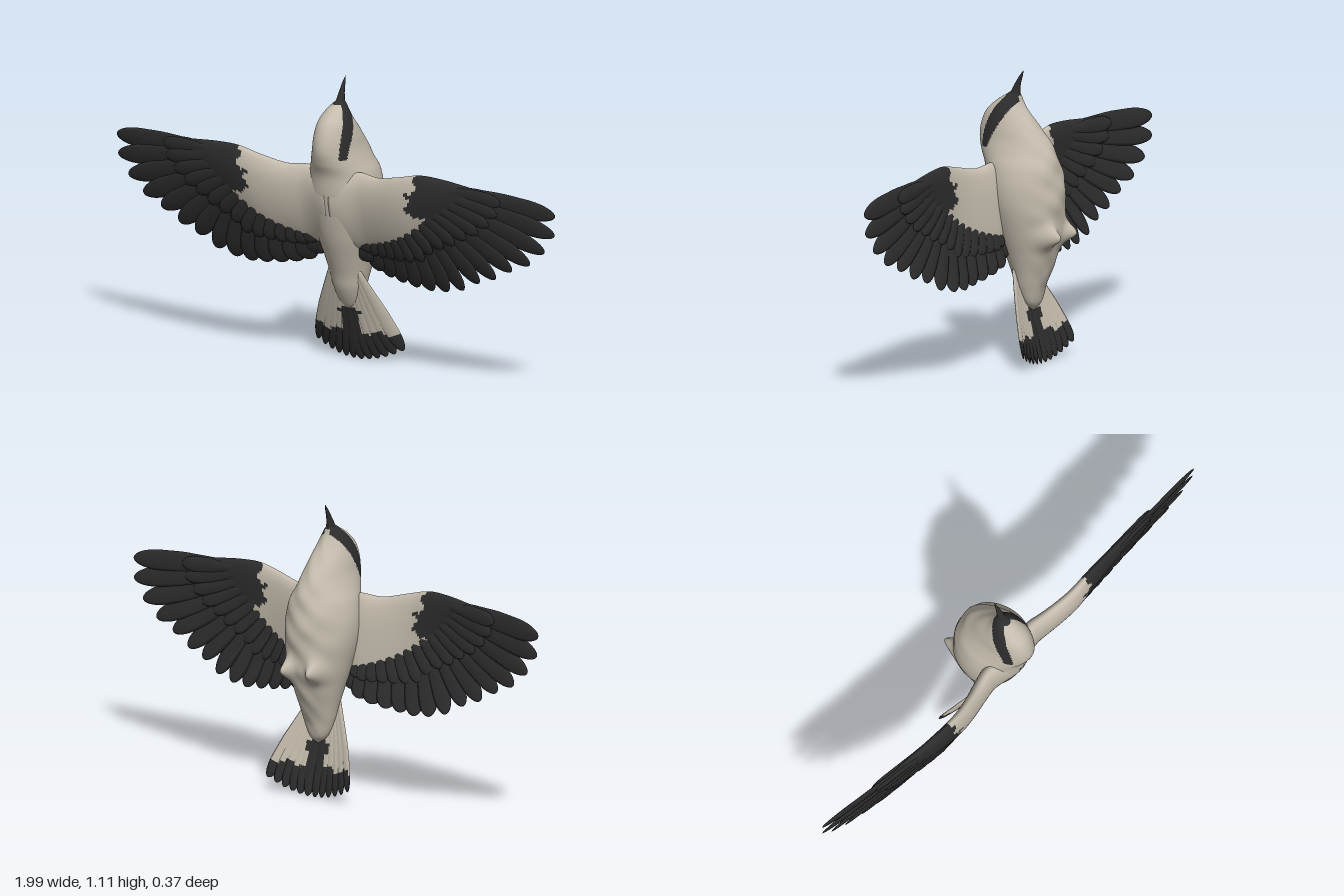
import * as THREE from 'three';

const cream = new THREE.MeshStandardMaterial({ color: 0xc3bbac });
cream.name = 'cream plumage';
const black = new THREE.MeshStandardMaterial({ color: 0x2d2d2d });
black.name = 'black plumage';

const V = (x, y, z) => new THREE.Vector3(x, y, z);
const { clamp, lerp, smoothstep } = THREE.MathUtils;

// Closed skin over point(u, angle); isDark(centre) sorts the faces into two colours.
function loft(name, nu, nv, point, isDark) {
  const pts = [], faces = [[], []];
  for (let i = 0; i <= nu; i++)
    for (let j = 0; j < nv; j++) pts.push(point(i / nu, (j / nv) * Math.PI * 2));
  let volume = 0;
  const cross = V(0, 0, 0);
  for (let i = 0; i < nu; i++) {
    for (let j = 0; j < nv; j++) {
      const k = (j + 1) % nv;
      const a = i * nv + j, b = i * nv + k, c = a + nv, d = b + nv;
      const centre = pts[a].clone().add(pts[b]).add(pts[c]).add(pts[d]).multiplyScalar(0.25);
      const list = faces[isDark(centre) ? 1 : 0];
      for (const t of [[a, b, d], [a, d, c]]) {
        volume += pts[t[0]].dot(cross.crossVectors(pts[t[1]], pts[t[2]]));
        list.push(t);
      }
    }
  }
  // Turn every face outward
  if (volume < 0) faces.forEach(list => list.forEach(t => t.reverse()));
  const geo = new THREE.BufferGeometry().setFromPoints(pts);
  geo.setIndex([...faces[0], ...faces[1]].flat());
  geo.addGroup(0, faces[0].length * 3, 0);
  geo.addGroup(faces[0].length * 3, faces[1].length * 3, 1);
  geo.computeVertexNormals();
  const mesh = new THREE.Mesh(geo, [cream, black]);
  mesh.name = name;
  return mesh;
}

const curve = rows => new THREE.CatmullRomCurve3(rows.map(r => V(...r)), false, 'catmullrom', 0.5);

// Flat rounded blade from root to tip, draped on the surface z = surf(x, y)
function feather(name, root, tip, width, surf, { lift = 0, tilt = 0.12, nu = 20, dark = () => true } = {}) {
  const dx = tip[0] - root[0], dy = tip[1] - root[1], len = Math.hypot(dx, dy);
  return loft(name, nu, 8, (t, a) => {
    const u = 1 - (1 - t) ** 2;
    const round = u > 0.75 ? Math.sqrt(Math.max(0, 1 - ((u - 0.75) / 0.25) ** 2)) : 1;
    const w = u === 0 ? 0 : (width / 2) * Math.min(1, 0.45 + u) * round;
    const c = w * Math.cos(a);
    const x = root[0] + dx * u - (dy / len) * c, y = root[1] + dy * u + (dx / len) * c;
    const ridge = u === 0 ? 0 : 0.008 * round * Math.sin(a);
    return V(x, y, surf(x, y) + lift + ridge + tilt * c);
  }, dark);
}

// Body rows: y, back z, belly z, half width
const bodyRows = [
  [1.035, 0.045, 0.035, 0], [1.015, 0.075, 0.02, 0.022], [0.99, 0.115, 0.012, 0.042], [0.95, 0.158, -0.012, 0.062],
  [0.9, 0.18, -0.055, 0.076], [0.85, 0.186, -0.095, 0.086], [0.8, 0.175, -0.122, 0.104], [0.75, 0.155, -0.14, 0.125],
  [0.68, 0.146, -0.152, 0.138], [0.6, 0.132, -0.156, 0.136], [0.5, 0.105, -0.148, 0.116], [0.42, 0.075, -0.13, 0.095],
  [0.35, 0.048, -0.105, 0.077], [0.29, 0.03, -0.082, 0.062], [0.23, 0, -0.064, 0.038], [0.2, -0.025, -0.04, 0]
];
const bodyDepth = curve(bodyRows.map(r => [r[0], r[1], r[2]]));
const bodyWidth = curve(bodyRows.map(r => [r[0], r[3], 0]));

// Dark band running from the beak back over the eye on each side
const isMask = p => {
  if (p.y > 1.012) return true;
  if (p.y < 0.82 || Math.abs(p.x) < 0.012) return false;
  const t = (1 - p.y) / 0.18;
  return Math.abs(p.z - (0.045 + 0.14 * t - 0.05 * t * t)) < 0.034 - 0.02 * t * t;
};

function makeBody() {
  return loft('body', 160, 120, (u, a) => {
    const d = bodyDepth.getPoint(u), w = Math.max(0, bodyWidth.getPoint(u).y);
    const mid = (d.y + d.z) / 2, half = (d.y - d.z) / 2, s = Math.sin(a), y = d.x;
    // Uneven belly feathers
    const ripple = Math.sin(y * 41 + 4 * Math.cos(a)) + Math.sin(y * 67 - 7 * Math.cos(a));
    const lump = s < 0 ? 1 + 0.014 * s * s * ripple : 1;
    const x = w * Math.cos(a) * lump;
    // Tucked feet bulging from the belly
    const foot = Math.exp(-(((Math.abs(x) - 0.064) / 0.027) ** 2) - ((y - 0.495) / 0.036) ** 2);
    return V(x, y, mid + half * s * lump - (s < 0 ? 0.062 * foot : 0));
  }, isMask);
}

function makeBeak() {
  const path = curve([[0.03, 0.99, 0.048], [0.02, 1.02, 0.042], [0.012, 1.055, 0.031], [0.007, 1.085, 0.018], [0, 1.112, 0.005]]);
  return loft('beak', 16, 16, (u, a) => {
    const p = path.getPoint(u), r = u === 0 ? 0 : p.x;
    return V(r * 0.85 * Math.cos(a), p.y, p.z + r * Math.sin(a));
  }, () => true);
}

function makeTail() {
  const tail = new THREE.Group();
  tail.name = 'tail';
  const surf = (x, y) => -0.08 + 0.28 * y - 0.8 * x * x;
  const dark = p => p.y < 0.118 + 0.012 * Math.sin(p.x * 70) || (Math.abs(p.x) < 0.045 && p.y < 0.21);
  for (let i = 0; i < 12; i++) {
    const k = (i - 5.5) / 5.5;
    tail.add(feather('tailFeather', [k * 0.05, 0.38], [k * 0.188, 0.002 + 0.05 * k * k], 0.056, surf,
      { lift: -0.006 * Math.abs(k), tilt: -0.15 * Math.sign(k), nu: 40, dark }));
  }
  return tail;
}

// Arm rows: distance from the middle, leading edge y, trailing edge y
const armCurve = curve([
  [0, 0.74, 0.5], [0.1, 0.768, 0.465], [0.2, 0.762, 0.48], [0.3, 0.782, 0.51], [0.4, 0.803, 0.565],
  [0.5, 0.8, 0.63], [0.6, 0.788, 0.69], [0.75, 0.768, 0.735]
]);
const primaryTips = [[0.997, 0.725], [0.993, 0.65], [0.945, 0.578], [0.875, 0.52], [0.79, 0.482], [0.71, 0.438], [0.63, 0.408], [0.55, 0.366]];
const secondaryTips = [[0.47, 0.346], [0.4, 0.34], [0.335, 0.345], [0.27, 0.353], [0.21, 0.364], [0.155, 0.38], [0.11, 0.41]];

function makeWing(side) {
  const wing = new THREE.Group();
  wing.name = side > 0 ? 'leftWing' : 'rightWing';
  // The right wing is raised a little and swept toward the belly
  const rise = s => (side < 0 ? 0.03 * s : 0);
  const surf = (x, yy) => {
    const s = Math.abs(x), y = yy - rise(s), out = clamp((s - 0.4) / 0.6, 0, 1);
    const root = 0.08 + 0.025 * (1 - smoothstep(s, 0, 0.14));
    const lead = root + 0.043 * smoothstep(s, 0.06, 0.36) + (side < 0 ? -0.105 * out ** 1.3 : 0.004 * out);
    const drop = Math.max(0, 0.72 - y);
    return lead - (0.05 * drop + 0.45 * drop * drop) * (1 - 0.5 * out);
  };
  const at = ([s, y]) => [side * s, y + rise(s)];
  const add = (name, root, tip, width, lift) =>
    wing.add(feather(name, at(root), at(tip), width, surf, { lift, tilt: 0.1 * side }));

  // Arm and hand
  wing.add(loft('wingArm', 80, 56, (u, a) => {
    const p = armCurve.getPoint(u);
    const end = u === 0 || u === 1 ? 0 : Math.min(1, Math.sqrt((1 - u) * 8));
    const y = (p.y + p.z) / 2 + ((p.y - p.z) / 2) * Math.cos(a) * end + rise(p.x);
    const thick = lerp(0.043, 0.009, u) * (1 + 0.3 * Math.cos(a)) * end;
    return V(side * p.x, y, surf(p.x, y) + thick * Math.sin(a));
  }, p => {
    const s = Math.abs(p.x), jag = 0.012 * Math.sin(p.y * 110);
    return s > (p.y < 0.64 ? 0.42 : p.y < 0.73 ? 0.355 : 0.385) + jag;
  }));

  // Flight feathers
  primaryTips.forEach((tip, i) => {
    const t = i / 7;
    add('primaryFeather', [lerp(0.47, 0.38, t), lerp(0.77, 0.64, t)], tip, 0.078, -0.004 * t);
  });
  secondaryTips.forEach((tip, i) => {
    const t = i / 6;
    add('secondaryFeather', [lerp(0.37, 0.11, t), lerp(0.63, 0.53, t)], tip, 0.088, -0.004);
  });

  // Shorter covering feathers on both faces
  [...primaryTips, ...secondaryTips].forEach((tip, i) => {
    const t = i / 14, root = [lerp(0.5, 0.13, t), lerp(0.765, 0.52, t)];
    const reach = i < 8 ? 0.52 : 0.58;
    const end = [lerp(root[0], tip[0], reach), lerp(root[1], tip[1], reach)];
    add('upperCovert', root, end, 0.06, 0.008);
    add('underCovert', root, end, 0.06, -0.011);
  });
  return wing;
}

export function createModel() {
  const bird = new THREE.Group();
  bird.name = 'bird';
  bird.add(makeBody(), makeBeak(), makeTail(), makeWing(1), makeWing(-1));
  return bird;
}
